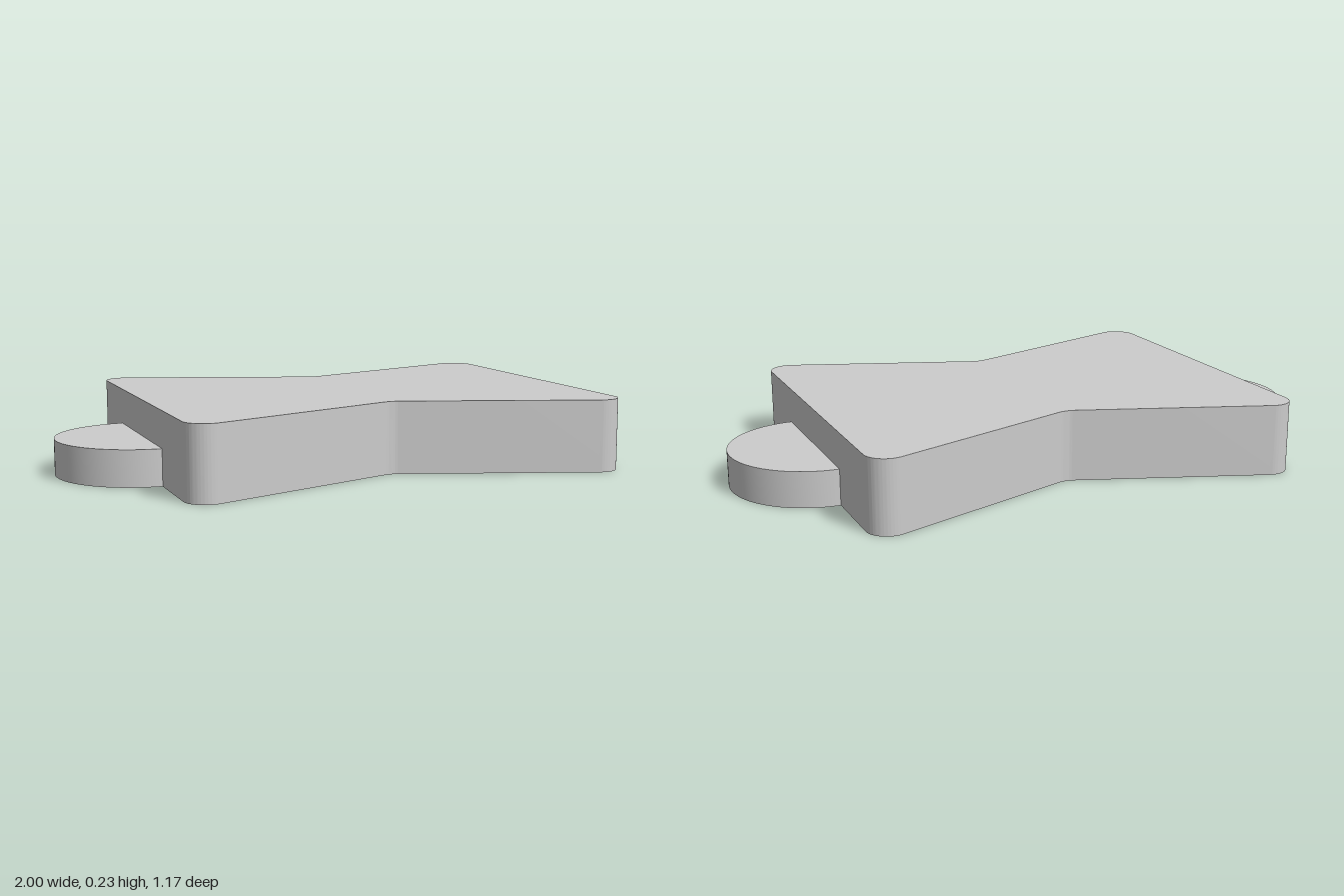
import * as THREE from 'three';
import { toCreasedNormals } from 'three/addons/utils/BufferGeometryUtils.js';

const material = new THREE.MeshStandardMaterial({ color: 0xcccccc });

// Extrudes a plan outline upward from y = 0
function slab(name, shape, height) {
  const geometry = new THREE.ExtrudeGeometry(shape, { depth: height, bevelEnabled: false, curveSegments: 32 });
  geometry.rotateX(-Math.PI / 2);
  const mesh = new THREE.Mesh(toCreasedNormals(geometry, 0.5), material);
  mesh.name = name;
  return mesh;
}

export function createModel() {
  const group = new THREE.Group();
  group.name = 'bowTiePlate';

  const halfWidth = 0.725, radius = 0.07, cx = halfWidth - radius, cz = 0.514;
  const tilt = 0.337; // slope of the edges running in to the waist
  const waist = 0.354, fillet = 0.03, filletZ = waist + fillet * Math.tan(tilt);

  // Bow-tie plate with rounded corners and a slightly softened waist
  const plate = new THREE.Shape();
  plate.moveTo(halfWidth, -cz);
  for (const s of [1, -1]) {
    const turn = s === 1 ? 0 : Math.PI;
    plate.absarc(s * cx, s * cz, radius, turn, turn + Math.PI / 2 + tilt, false);
    plate.lineTo(s * fillet, s * filletZ);
    plate.quadraticCurveTo(0, s * waist, -s * fillet, s * filletZ);
    plate.absarc(-s * cx, s * cz, radius, turn + Math.PI / 2 - tilt, turn + Math.PI, false);
  }
  plate.closePath();
  group.add(slab('plate', plate, 0.235));

  // Half-round lobes, half as tall, on both ends
  for (const [name, turn] of [['leftLobe', 0], ['rightLobe', Math.PI]]) {
    const lobe = new THREE.Shape();
    lobe.absarc(halfWidth, 0, 1 - halfWidth, -Math.PI / 2, Math.PI / 2, false);
    lobe.closePath();
    const mesh = slab(name, lobe, 0.117);
    mesh.rotation.y = turn;
    group.add(mesh);
  }
  return group;
}
